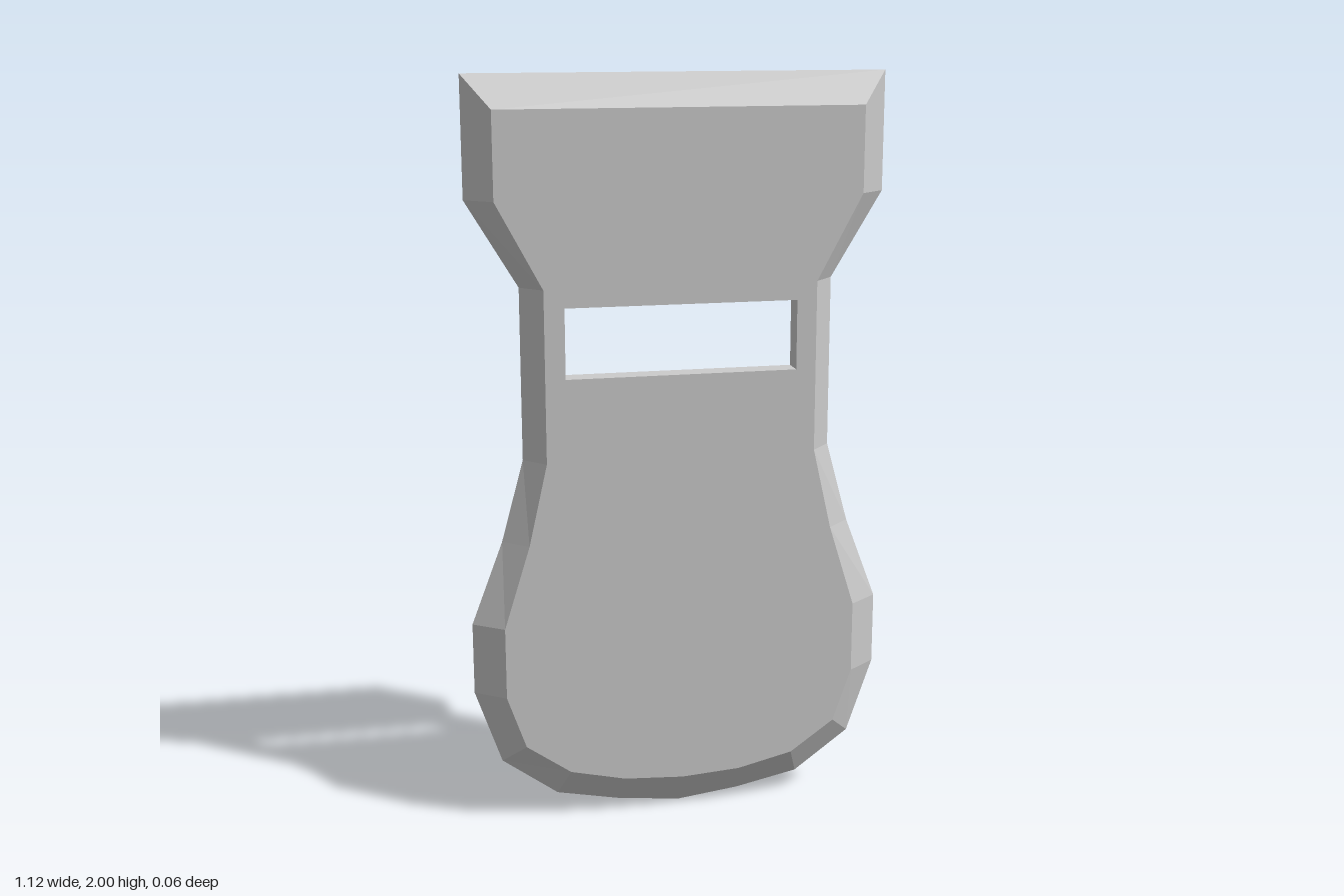
import * as THREE from 'three';

const FRONT = 0.03, BACK = -0.03;

// Half outlines (x, y) from bottom centre up to the top corner
const backHalf = [[0, 0], [0.17, 0.02], [0.34, 0.055], [0.49, 0.165], [0.56, 0.37], [0.56, 0.565],
  [0.475, 0.79], [0.415, 1.01], [0.415, 1.465], [0.55, 1.69], [0.55, 2]];
const frontHalf = [[0, 0.095], [0.16, 0.105], [0.31, 0.14], [0.43, 0.225], [0.48, 0.37], [0.48, 0.565],
  [0.41, 0.79], [0.36, 1.01], [0.36, 1.465], [0.48, 1.69], [0.48, 1.915]];

// Slot outline, clockwise so that its walls face inward
const slot = [[-0.307, 1.232], [-0.307, 1.417], [0.307, 1.417], [0.307, 1.232]];

// Full counter-clockwise outline from one half
const mirror = half => [...half, ...half.slice(1).reverse().map(([x, y]) => [-x, y])];

// Flat face with the slot cut out
function faceGeometry(outline) {
  const toVectors = points => points.map(([x, y]) => new THREE.Vector2(x, y));
  const shape = new THREE.Shape(toVectors(outline));
  shape.holes.push(new THREE.Path(toVectors(slot)));
  return new THREE.ShapeGeometry(shape);
}

// Band of flat quads joining a back outline to a front outline
function wallGeometry(back, front) {
  const positions = [];
  back.forEach((p, i) => {
    const j = (i + 1) % back.length;
    const a = [...p, BACK], b = [...back[j], BACK];
    const c = [...front[j], FRONT], d = [...front[i], FRONT];
    positions.push(...a, ...b, ...c, ...a, ...c, ...d);
  });
  const geometry = new THREE.BufferGeometry();
  geometry.setAttribute('position', new THREE.Float32BufferAttribute(positions, 3));
  geometry.computeVertexNormals();
  return geometry;
}

export function createModel() {
  const group = new THREE.Group();
  group.name = 'slottedPlate';
  const material = new THREE.MeshStandardMaterial({ color: 0xcccccc, flatShading: true });
  const add = (name, geometry) => {
    const mesh = new THREE.Mesh(geometry, material);
    mesh.name = name;
    group.add(mesh);
  };

  const backOutline = mirror(backHalf), frontOutline = mirror(frontHalf);
  add('frontFace', faceGeometry(frontOutline).translate(0, 0, FRONT));
  // The outline is symmetric, so a half turn makes the face look backwards
  add('backFace', faceGeometry(backOutline).rotateY(Math.PI).translate(0, 0, BACK));
  add('bevelledRim', wallGeometry(backOutline, frontOutline));
  add('slotWalls', wallGeometry(slot, slot));
  return group;
}
